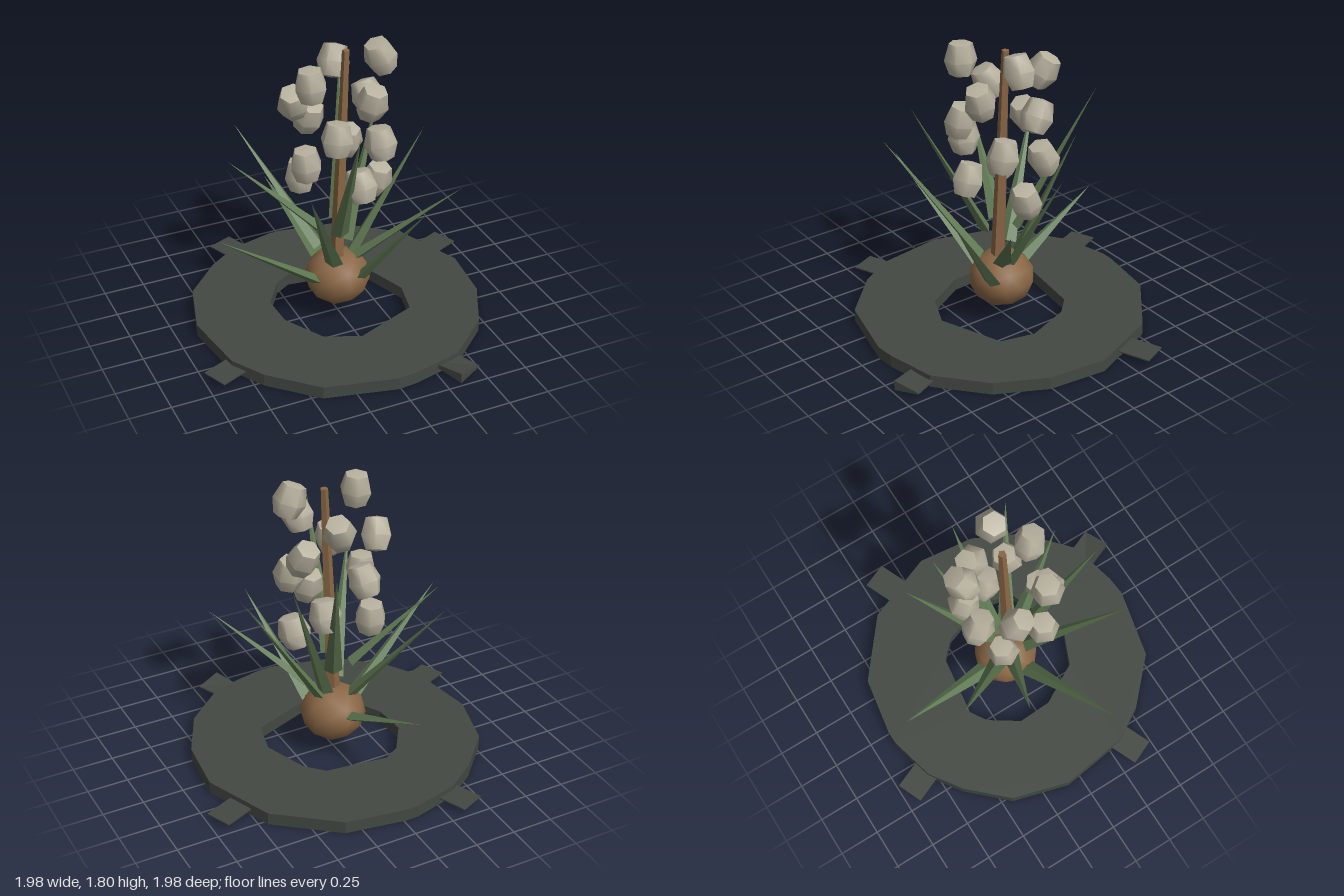
import * as THREE from 'three';
import { mergeVertices, toCreasedNormals } from 'three/addons/utils/BufferGeometryUtils.js';

const material = (name, color) => {
  const m = new THREE.MeshStandardMaterial({ color });
  m.name = name;
  return m;
};

export function createModel() {
  const model = new THREE.Group();
  model.name = 'plant';
  const stone = material('dark slate', 0x434842);
  const brown = material('bulb brown', 0x8a6745);
  const green = material('leaf green', 0x5f7852);
  const cream = material('bud cream', 0xb7b19e);

  const add = (name, geometry, mat, parent = model) => {
    const mesh = new THREE.Mesh(geometry, mat);
    mesh.name = name;
    parent.add(mesh);
    return mesh;
  };
  const flat = (geometry) => toCreasedNormals(geometry, 0.2);

  // Irregular flat ring with a hole, outlines given as x, z
  const points = (list) => list.map(([x, z]) => new THREE.Vector2(x, z));
  const outline = new THREE.Shape(points([
    [-0.09, -0.87], [-0.01, -0.87], [0.35, -0.81], [0.7, -0.53], [0.87, -0.1], [0.83, 0.26],
    [0.68, 0.56], [0.41, 0.8], [0.11, 0.87], [-0.01, 0.88], [-0.44, 0.78], [-0.7, 0.53],
    [-0.82, 0.33], [-0.88, -0.09], [-0.78, -0.44], [-0.56, -0.67], [-0.37, -0.8],
  ]));
  outline.holes.push(new THREE.Path(points([
    [-0.17, -0.37], [0.21, -0.32], [0.31, -0.22], [0.41, 0.06], [0.36, 0.27],
    [-0.03, 0.42], [-0.24, 0.33], [-0.38, 0.08], [-0.39, -0.13], [-0.27, -0.31],
  ])));
  const ring = new THREE.ExtrudeGeometry(outline, { depth: 0.077, bevelEnabled: false });
  ring.rotateX(Math.PI / 2);
  add('ring', ring, stone).position.y = 0.08;

  // Four thin tabs round the ring; the front one has a flared corner
  for (let i = 0; i < 4; i++) {
    const tab = new THREE.BoxGeometry(0.24, 0.008, 0.165).translate(0.92, 0, 0);
    if (i === 3) {
      const p = tab.attributes.position;
      for (let k = 0; k < p.count; k++) {
        if (p.getX(k) > 1 && p.getZ(k) > 0) p.setY(k, p.getY(k) * 8);
      }
    }
    const mesh = add('tab', flat(tab), stone);
    mesh.position.y = 0.045;
    mesh.rotation.y = 0.402 + i * Math.PI / 2;
  }

  // Rounded, slightly squashed bulb
  const ball = new THREE.IcosahedronGeometry(0.2, 1);
  ball.deleteAttribute('uv');
  ball.deleteAttribute('normal');
  const bulbShape = mergeVertices(ball, 0.001);
  bulbShape.scale(1, 0.88, 1);
  bulbShape.computeVertexNormals();
  add('bulb', bulbShape, brown).position.y = 0.26;

  // Places a geometry that points up so that it runs from one point to another
  const between = (mesh, from, to) => {
    const y = to.clone().sub(from).normalize();
    const x = new THREE.Vector3(0, 1, 0).cross(y).normalize();
    const z = x.clone().cross(y);
    mesh.quaternion.setFromRotationMatrix(new THREE.Matrix4().makeBasis(x, y, z));
    mesh.position.copy(from).add(to).multiplyScalar(0.5);
  };

  // Tapered, leaning stem
  const bottom = new THREE.Vector3(-0.01, 0.36, 0.02);
  const top = new THREE.Vector3(0.05, 1.75, 0.01);
  const stem = add('stem', flat(new THREE.CylinderGeometry(0.023, 0.046, bottom.distanceTo(top), 5)), brown);
  between(stem, bottom, top);

  // Pointed leaves: base, then tip
  const leaves = new THREE.Group();
  leaves.name = 'leaves';
  model.add(leaves);
  [
    [[-0.17, 0.3, 0.05], [-0.83, 0.83, 0.22]],
    [[-0.04, 0.3, -0.17], [-0.15, 0.57, -0.79]],
    [[0.1, 0.31, 0.14], [0.31, 0.91, 0.55]],
    [[0.07, 0.36, 0], [0.57, 1.14, -0.01]],
    [[0.1, 0.42, 0.07], [0.62, 0.92, 0.39]],
    [[-0.07, 0.42, 0.11], [-0.41, 1.17, 0.56]],
    [[-0.08, 0.43, -0.1], [-0.43, 1.12, -0.55]],
    [[-0.1, 0.6, -0.04], [-0.6, 1.07, -0.21]],
    [[-0.03, 0.61, 0.1], [-0.11, 1.48, 0.55]],
    [[0.04, 0.6, -0.08], [0.24, 1.46, -0.5]],
    [[0.08, 0.46, -0.06], [0.38, 1.29, -0.25]],
  ].forEach(([base, tip]) => {
    const from = new THREE.Vector3(...base);
    const to = new THREE.Vector3(...tip);
    const blade = new THREE.ConeGeometry(0.055, from.distanceTo(to), 4).scale(1, 1, 0.55);
    between(add('leaf', flat(blade), green, leaves), from, to);
  });

  // Faceted buds floating round the stem, each tilted its own way
  const buds = new THREE.Group();
  buds.name = 'buds';
  model.add(buds);
  const profile = points([[0, -0.105], [0.068, -0.095], [0.098, -0.01], [0.07, 0.09], [0, 0.1]]);
  const budShape = toCreasedNormals(new THREE.LatheGeometry(profile, 6), 1.08);
  [
    [0.24, 1.7, 0.06], [-0.22, 1.64, 0.13], [0.08, 1.58, -0.23], [0.11, 1.51, 0.23],
    [-0.24, 1.44, -0.08], [0.23, 1.39, -0.08], [-0.1, 1.32, 0.22], [-0.08, 1.25, -0.23],
    [0.21, 1.19, 0.14], [-0.24, 1.13, 0.1], [0.15, 1.06, -0.19], [0.03, 1.01, 0.26],
    [-0.18, 0.93, -0.13], [0.25, 0.88, 0.01],
  ].forEach((place, i) => {
    const bud = add('bud', budShape, cream, buds);
    bud.position.set(...place);
    bud.rotation.set(0.35 * Math.sin(i * 2.1), i * 1.7, 0.35 * Math.cos(i * 3.3));
  });

  return model;
}
